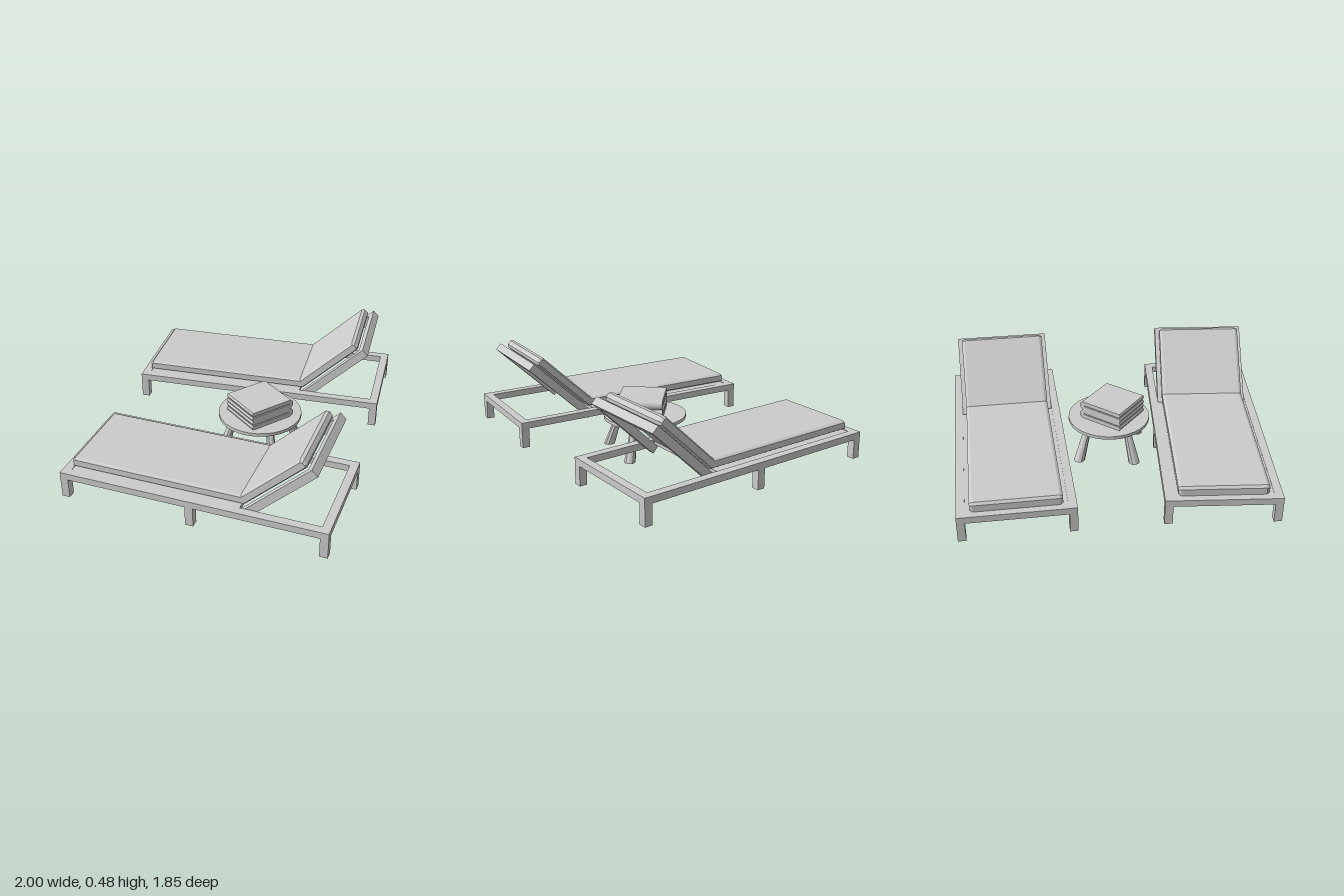
import * as THREE from 'three';

const material = new THREE.MeshStandardMaterial({ color: 0xcccccc, flatShading: true });
const smooth = new THREE.MeshStandardMaterial({ color: 0xcccccc });

function add(parent, name, geometry, x = 0, y = 0, z = 0, mat = material) {
  const mesh = new THREE.Mesh(geometry, mat);
  mesh.name = name;
  mesh.position.set(x, y, z);
  parent.add(mesh);
  return mesh;
}

const box = (w, h, d) => new THREE.BoxGeometry(w, h, d);

// Folded cushion: side outline (z, y) extruded across the width with chamfered edges
function cushionGeometry(width, angle) {
  const c = 0.012, bevel = 0.014;
  const dz = Math.cos(angle), dy = Math.sin(angle);
  const top = [0.23, 0.224], bottom = [0.25, 0.176];
  const along = (p, s) => [p[0] + dz * s, p[1] + dy * s];
  const end = along(top, 0.388), endLow = along(bottom, 0.407);
  const mix = (a, b, t) => [a[0] + (b[0] - a[0]) * t, a[1] + (b[1] - a[1]) * t];
  const points = [
    [-0.632, 0.176], bottom,
    along(bottom, 0.407 - c), mix(endLow, end, 0.25),
    mix(endLow, end, 0.75), along(top, 0.388 - c),
    top, [-0.632 + c, 0.224], [-0.632, 0.224 - c],
  ].map(p => new THREE.Vector2(...p));
  const geometry = new THREE.ExtrudeGeometry(new THREE.Shape(points), {
    depth: width - 2 * bevel, bevelEnabled: true, bevelSize: 0.008,
    bevelOffset: -0.008, bevelThickness: bevel, bevelSegments: 1,
  });
  geometry.translate(0, 0, -(width - 2 * bevel) / 2);
  return geometry.rotateY(-Math.PI / 2);
}

function createLounger(name) {
  const group = new THREE.Group();
  group.name = name;
  const hw = 0.285, hl = 0.667, rail = 0.042, leg = 0.04, tilt = 0.767;

  // Bed frame
  for (const s of [-1, 1]) {
    add(group, 'sideRail', box(rail, 0.035, 2 * hl), s * (hw - rail / 2), 0.1575, 0);
    add(group, 'endRail', box(2 * (hw - rail), 0.035, rail), 0, 0.1575, s * (hl - rail / 2));
    for (const t of [-1, 0, 1]) {
      add(group, 'leg', box(leg, 0.105, leg), s * (hw - leg / 2), 0.0895, t * (hl - leg / 2));
    }
  }
  add(group, 'seatPanel', box(2 * (hw - rail), 0.022, 0.86), 0, 0.161, -0.195);

  // Tilted backrest frame, pivoting at its lower end
  const back = new THREE.Group();
  back.name = 'backrestFrame';
  back.position.set(0, 0.12, 0.265);
  back.rotation.x = -tilt;
  group.add(back);
  const length = 0.456, thick = 0.042, bar = 0.032, half = 0.242;
  for (const s of [-1, 1]) {
    add(back, 'backrestBar', box(bar, thick, length), s * (half - bar / 2), thick / 2, length / 2);
  }
  add(back, 'backrestTopBar', box(2 * (half - bar), thick, bar), 0, thick / 2, length - bar / 2);

  add(group, 'cushion', cushionGeometry(0.44, tilt));
  return group;
}

function createTable() {
  const group = new THREE.Group();
  group.name = 'sideTable';
  add(group, 'tableTop', new THREE.CylinderGeometry(0.217, 0.217, 0.018, 32), 0, 0.191, 0);

  // Splayed legs, wider at the feet, sheared so the feet sit flat
  for (let i = 0; i < 4; i++) {
    const a = 0.57 + i * Math.PI / 2;
    const geometry = new THREE.CylinderGeometry(0.018, 0.03, 0.184, 10);
    geometry.translate(0, 0.092, 0);
    const p = geometry.attributes.position;
    for (let j = 0; j < p.count; j++) {
      const r = 0.208 - 0.065 * p.getY(j) / 0.184;
      p.setX(j, p.getX(j) + Math.cos(a) * r);
      p.setZ(j, p.getZ(j) + Math.sin(a) * r);
    }
    geometry.computeVertexNormals();
    add(group, 'tableLeg', geometry);
  }
  return group;
}

// Towel folded once: a C-shaped side outline with the fold at +x
function towelGeometry(depth) {
  const h = 0.05, r = h / 2, slit = 0.003, x0 = -0.125, x1 = 0.1;
  const shape = new THREE.Shape();
  shape.moveTo(x0, 0);
  shape.lineTo(x1, 0);
  shape.absarc(x1, r, r, -Math.PI / 2, Math.PI / 2, false);
  shape.lineTo(x0, h);
  shape.lineTo(x0 - 0.006, h * 0.77);
  shape.lineTo(x0, r + slit);
  shape.lineTo(x1, r + slit);
  shape.lineTo(x1, r - slit);
  shape.lineTo(x0, r - slit);
  shape.lineTo(x0 - 0.006, h * 0.23);
  const geometry = new THREE.ExtrudeGeometry(shape, { depth, bevelEnabled: false, curveSegments: 12 });
  return geometry.translate(0, 0, -depth / 2);
}

export function createModel() {
  const model = new THREE.Group();
  model.name = 'loungerSet';

  const right = createLounger('rightLounger');
  right.position.set(-0.515, 0, 0.2);
  right.rotation.y = 0.329;
  const left = createLounger('leftLounger');
  left.position.set(0.458, 0, -0.205);
  left.rotation.y = 0.433;

  const table = createTable();
  table.position.set(0.003, 0, 0.096);

  // Two folded towels stacked on the table
  const towels = new THREE.Group();
  towels.name = 'towels';
  towels.position.set(-0.01, 0.2, 0.107);
  towels.rotation.y = -0.3;
  for (let i = 0; i < 2; i++) add(towels, 'towel', towelGeometry(0.235), 0, i * 0.05, 0, smooth);

  model.add(right, left, table, towels);
  return model;
}
